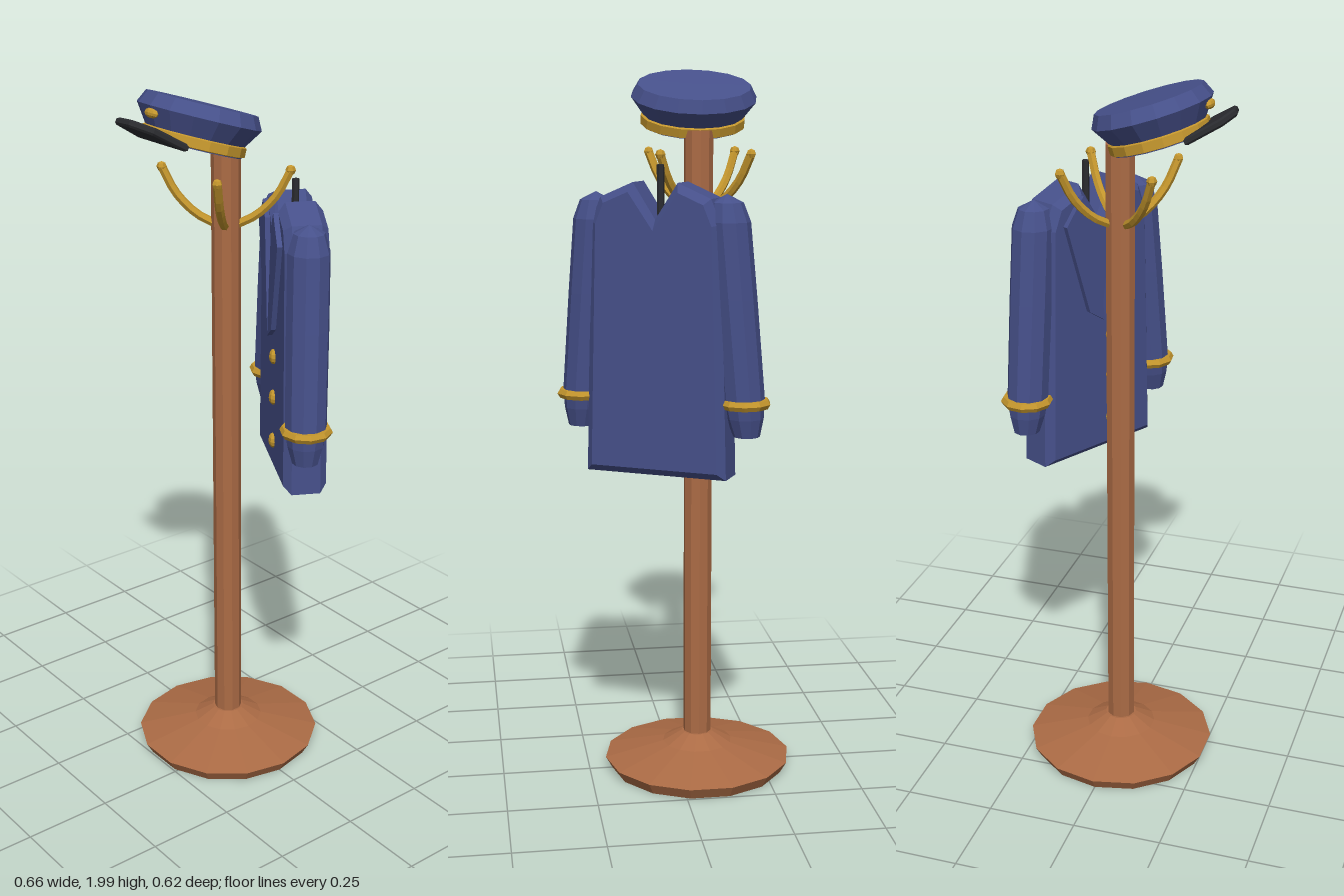
import * as THREE from 'three';

const mat = (name, color) => {
  const m = new THREE.MeshStandardMaterial({ color });
  m.name = name;
  return m;
};

// Facet a geometry so that every face has its own normal
const facet = (geo) => {
  const g = geo.index ? geo.toNonIndexed() : geo;
  g.computeVertexNormals();
  return g;
};

const lathe = (pts, sides) =>
  new THREE.LatheGeometry(pts.map(([r, y]) => new THREE.Vector2(r, y)), sides);

const plate = (pts, depth, bevel) =>
  new THREE.ExtrudeGeometry(new THREE.Shape(pts.map(([x, y]) => new THREE.Vector2(x, y))), {
    depth, bevelEnabled: bevel > 0, bevelSize: bevel, bevelThickness: bevel, bevelSegments: 1,
  });

export function createModel() {
  const blue = mat('navy cloth', 0x46508a);
  const wood = mat('wood', 0xab6b45);
  const gold = mat('gold', 0xc4962d);
  const black = mat('black', 0x2b2c30);

  const model = new THREE.Group();
  model.name = 'coatStand';
  const add = (parent, name, geo, material, x = 0, y = 0, z = 0) => {
    const mesh = new THREE.Mesh(facet(geo), material);
    mesh.name = name;
    mesh.position.set(x, y, z);
    parent.add(mesh);
    return mesh;
  };

  // Stand: base, pole and four curved hooks
  const stand = new THREE.Group();
  stand.name = 'stand';
  stand.position.x = -0.066;
  model.add(stand);
  const base = lathe([[0, 0], [0.25, 0], [0.269, 0.033], [0.1, 0.075], [0.045, 0.105], [0, 0.105]], 14);
  add(stand, 'base', base.rotateY(Math.PI / 2), wood);
  add(stand, 'pole', new THREE.CylinderGeometry(0.04, 0.04, 1.74, 10), wood, 0, 0.96, 0);
  const hookCurve = new THREE.CatmullRomCurve3(
    [[0.02, 1.615], [0.08, 1.645], [0.135, 1.7], [0.172, 1.77]].map(([r, y]) => new THREE.Vector3(r, y, 0)));
  for (let i = 0; i < 4; i++) {
    const hook = new THREE.Group();
    hook.name = 'hook';
    hook.rotation.y = Math.PI / 4 + i * Math.PI / 2;
    add(hook, 'hookArm', new THREE.TubeGeometry(hookCurve, 8, 0.012, 6), gold);
    add(hook, 'hookTip', new THREE.SphereGeometry(0.014, 6, 4), gold, 0.172, 1.77, 0);
    stand.add(hook);
  }

  // Cap tilted back on top of the pole
  const cap = new THREE.Group();
  cap.name = 'cap';
  cap.position.set(-0.066, 1.843, 0.11);
  cap.rotation.x = -0.3;
  model.add(cap);
  const oval = (pts) => lathe(pts, 16).scale(1, 1, 0.914);
  add(cap, 'crown', oval([[0, 0], [0.138, 0], [0.138, 0.028], [0.175, 0.08], [0.157, 0.114], [0, 0.116]]), blue);
  add(cap, 'capBand', oval([[0.138, 0.002], [0.146, 0.004], [0.146, 0.028], [0.138, 0.032]]), gold);
  add(cap, 'badge', new THREE.SphereGeometry(0.026, 8, 6).scale(1, 0.5, 0.5), gold, 0, 0.062, 0.15);
  const visor = add(model, 'visor',
    plate([[-0.1, 0], [0.1, 0], [0.08, 0.094], [0, 0.112], [-0.08, 0.094]], 0.01, 0.005),
    black, -0.066, 1.876, 0.2);
  visor.rotation.x = Math.PI / 2 - 0.53;

  // Coat hanging at an angle behind the pole
  const coat = new THREE.Group();
  coat.name = 'coat';
  coat.position.set(0.0575, 0, -0.1375);
  coat.rotation.y = -0.5;
  model.add(coat);
  const half = [[0.18, 0.935], [0.163, 1.59], [0.14, 1.645], [0.07, 1.675]];
  const outline = [...half, [0, 1.575], ...half.map(([x, y]) => [-x, y]).reverse()];
  add(coat, 'body', plate(outline, 0.08, 0.02).translate(0, 0, -0.04), blue);
  add(coat, 'hanger', new THREE.CylinderGeometry(0.01, 0.01, 0.2, 6), black, 0, 1.645, 0);
  for (const y of [1.26, 1.14, 1.01]) {
    add(coat, 'button', new THREE.SphereGeometry(0.021, 8, 6).scale(1, 1, 0.6), gold, 0.034, y, 0.062);
  }

  for (const s of [1, -1]) {
    // Lapel
    const lapel = [[0, 1.31], [0.055, 1.345], [0.135, 1.6], [0.075, 1.675], [0.045, 1.63]];
    const pts = lapel.map(([x, y]) => [s * x, y]);
    add(coat, 'lapel', plate(pts, 0.016, 0), blue, 0, 0, 0.058);

    // Sleeve leaning outward towards the cuff
    const sleeve = lathe([[0, 1.025], [0.036, 1.03], [0.05, 1.08], [0.057, 1.13], [0.058, 1.4],
      [0.057, 1.6], [0.042, 1.65], [0, 1.672]], 10);
    const p = sleeve.attributes.position;
    for (let i = 0; i < p.count; i++) {
      const t = (1.67 - p.getY(i)) / 0.64;
      p.setX(i, p.getX(i) + s * (0.185 + 0.055 * t));
      p.setZ(i, p.getZ(i) + 0.012 * t);
    }
    add(coat, 'sleeve', sleeve, blue);
    add(coat, 'cuff', new THREE.TorusGeometry(0.058, 0.014, 6, 10).rotateX(Math.PI / 2), gold,
      s * 0.234, 1.12, 0.01);
  }
  return model;
}
